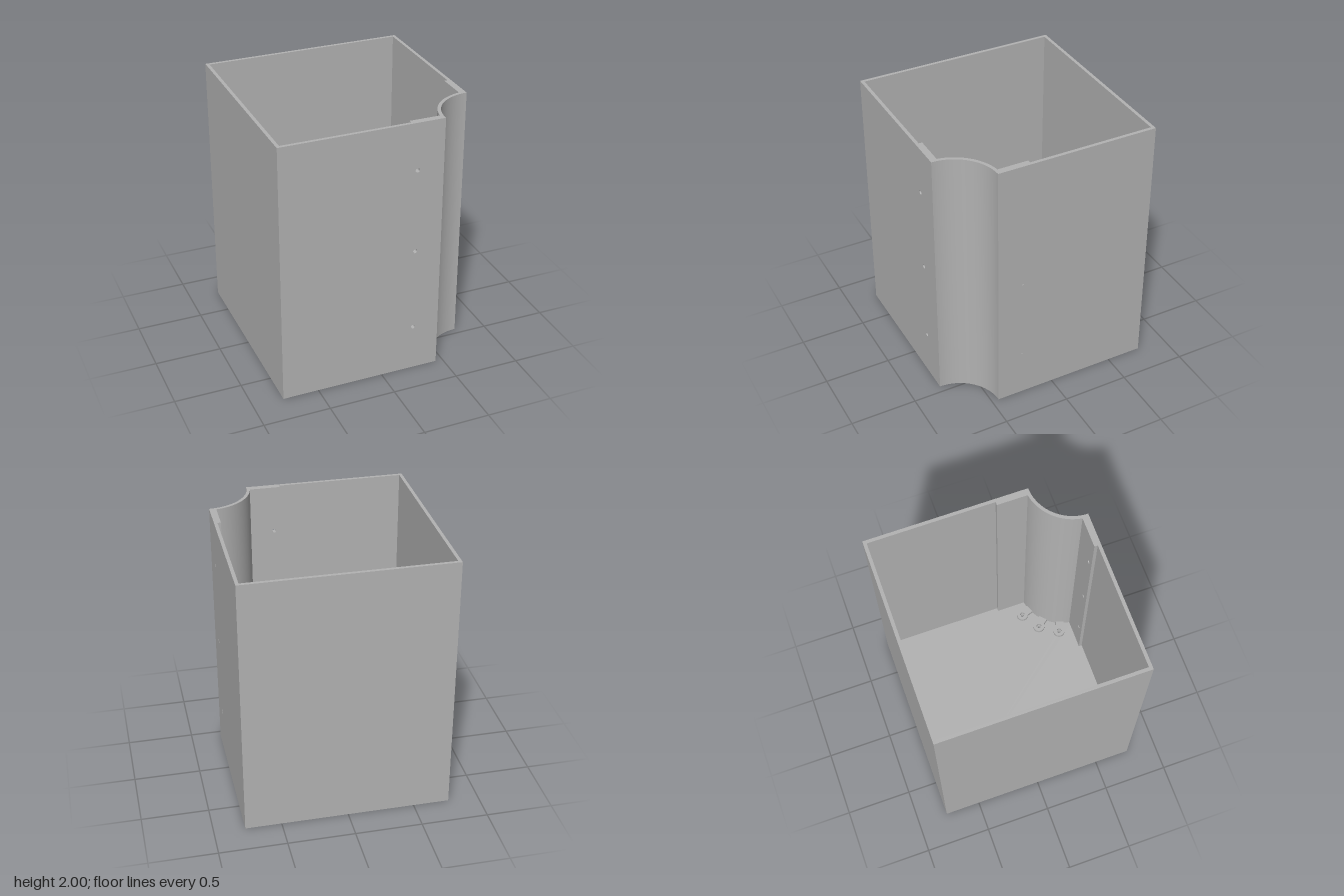
import * as THREE from 'three';
import { toCreasedNormals } from 'three/addons/utils/BufferGeometryUtils.js';

const H = 2, W = 0.77, T = 0.025, R = 0.325; // height, half width, wall thickness, corner radius
const FLOOR = 0.04;

export function createModel() {
  const model = new THREE.Group();
  model.name = 'binWithCornerCutout';
  const grey = new THREE.MeshStandardMaterial({ color: 0xb2b2b2 });
  grey.name = 'grey plastic';

  const add = (name, geometry, parent = model) => {
    const mesh = new THREE.Mesh(toCreasedNormals(geometry, 0.5), grey);
    mesh.name = name;
    parent.add(mesh);
    return mesh;
  };
  const hole = (shape, x, y, r) => {
    const p = new THREE.Path();
    p.absarc(x, y, r, 0, Math.PI * 2, true);
    shape.holes.push(p);
  };
  const extrude = (shape, depth) =>
    new THREE.ExtrudeGeometry(shape, { depth, bevelEnabled: false, curveSegments: 32 });
  // Plan outline (x, z) raised from y0 to y1
  const raise = (shape, y0, y1) => extrude(shape, y1 - y0).rotateX(Math.PI / 2).translate(0, y1, 0);
  const box = (x0, x1, y0, y1, z0, z1) =>
    new THREE.BoxGeometry(x1 - x0, y1 - y0, z1 - z0).translate((x0 + x1) / 2, (y0 + y1) / 2, (z0 + z1) / 2);

  // Upright panel in x, y with three screw holes; s mirrors it for the adjoining side
  const panel = (x0, x1, y0, s) => {
    const shape = new THREE.Shape();
    shape.moveTo(s * x0, y0).lineTo(s * x1, y0).lineTo(s * x1, H).lineTo(s * x0, H).closePath();
    for (const y of [0.36, 1, 1.64]) hole(shape, s * 0.245, y, 0.016);
    return extrude(shape, T);
  };

  // Plain walls
  add('backWall', box(-W, W, 0, H, -W, -W + T));
  add('rightWall', box(-W, -W + T, 0, H, -W + T, W));

  // Drilled walls beside the cutout, each backed by a joining strip
  add('frontWall', panel(-W + T, 0.43, 0, 1).translate(0, 0, W - T));
  add('frontStrip', panel(0.195, 0.425, FLOOR, 1).translate(0, 0, W - 2 * T));
  add('leftWall', panel(-W + T, 0.43, 0, -1).translate(0, 0, W - T).rotateY(Math.PI / 2));
  add('leftStrip', panel(0.195, 0.425, FLOOR, -1).translate(0, 0, W - 2 * T).rotateY(Math.PI / 2));

  // Concave corner wall
  const arc = new THREE.Shape();
  arc.absarc(W, W, R, Math.PI, Math.PI * 1.5, false);
  arc.absarc(W, W, R + T, Math.PI * 1.5, Math.PI, true);
  arc.closePath();
  add('concaveCorner', raise(arc, 0, H));

  // Floor with four round recesses and the screw holes of the lugs
  const lugAngles = [202, 225, 248].map(THREE.MathUtils.degToRad);
  const lugR = 0.431, inner = W - T;
  const floor = (recessed) => {
    const s = new THREE.Shape();
    s.moveTo(-inner, -inner).lineTo(inner, -inner).lineTo(inner, W - R - T);
    s.absarc(W, W, R + T, Math.PI * 1.5 - 0.07, Math.PI + 0.07, true);
    s.lineTo(W - R - T, inner).lineTo(-inner, inner).closePath();
    for (const a of lugAngles) hole(s, W + lugR * Math.cos(a), W + lugR * Math.sin(a), 0.013);
    if (recessed) for (const x of [-0.33, 0.33]) for (const z of [-0.33, 0.33]) hole(s, x, z, 0.065);
    return s;
  };
  add('floorUnderside', raise(floor(true), 0, 0.03));
  add('floorTop', raise(floor(false), 0.03, FLOOR));

  // Screw lugs reaching inward from the concave corner
  for (const a of lugAngles) {
    const s = new THREE.Shape();
    s.moveTo(R + 0.015, -0.035).lineTo(0.395, -0.03);
    s.absarc(lugR, 0, 0.045, -2.4, 2.4, false);
    s.lineTo(0.395, 0.03).lineTo(R + 0.015, 0.035).closePath();
    hole(s, lugR, 0, 0.019);
    add('screwLug', raise(s, FLOOR, 0.07).rotateY(-a).translate(W, 0, W));
  }
  return model;
}
